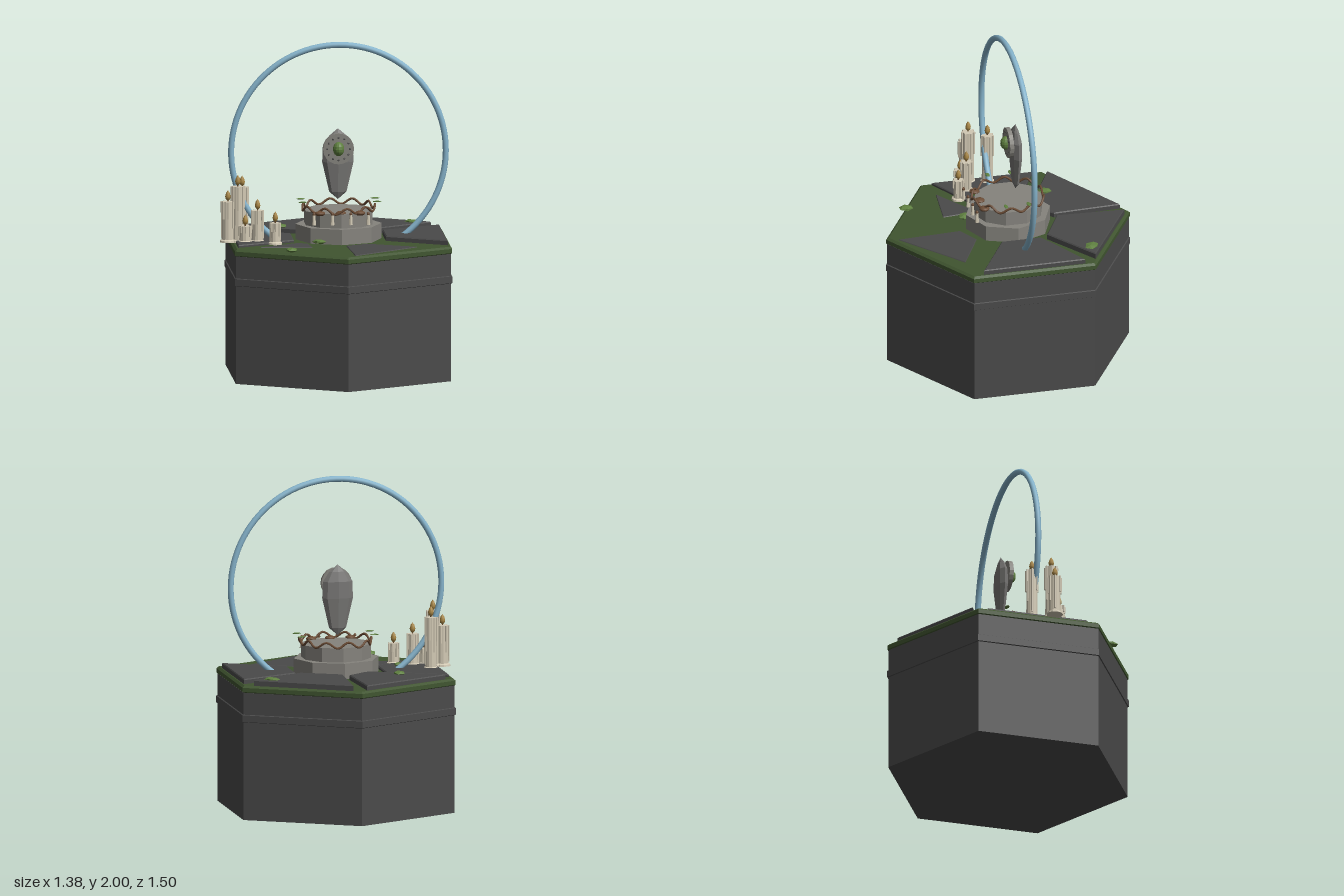
import * as THREE from 'three';

const mat = (name, color, flat = true) => {
  const m = new THREE.MeshStandardMaterial({ color, flatShading: flat });
  m.name = name;
  return m;
};

export function createModel() {
  const stone = mat('dark stone', 0x4a4a4a);
  const moss = mat('moss', 0x405530);
  const leaf = mat('leaf green', 0x5f8040);
  const grey = mat('pale stone', 0x85837d);
  const crystalGrey = mat('crystal grey', 0x777674);
  const blue = mat('pale blue', 0x86b4cc, false);
  const wax = mat('wax', 0xd2c9b4);
  const gold = mat('flame gold', 0xa88645, false);
  const brown = mat('brown wood', 0x6b4c35, false);

  const root = new THREE.Group();
  const cx = 0.025; // axis of the altar
  const add = (name, geo, material, x = 0, y = 0, z = 0, parent = root) => {
    const m = new THREE.Mesh(geo, material);
    m.name = name;
    m.position.set(x, y, z);
    parent.add(m);
    return m;
  };
  const lathe = (pts, n) => new THREE.LatheGeometry(pts.map(p => new THREE.Vector2(...p)), n);
  const prism = (r, h, n, start = 0) => new THREE.CylinderGeometry(r, r, h, n, 1, false, start);
  const blob = (rx, ry, rz, n = 12) => new THREE.SphereGeometry(1, n, 8).scale(rx, ry, rz);

  // Hexagonal base, band and mossy cap
  add('base', prism(0.745, 0.77, 6), stone, cx, 0.385, 0);
  add('band', lathe([[0.74, 0.588], [0.752, 0.594], [0.752, 0.634], [0.74, 0.64]], 6), stone, cx);
  add('mossCap', lathe([[0, 0.765], [0.735, 0.765], [0.751, 0.775], [0.751, 0.8], [0.735, 0.812], [0, 0.812]], 6), moss, cx);

  // Paving slabs, corners given as x, z
  const slabs = [
    [0.842, [[-0.56, -0.39], [-0.015, -0.7], [0.005, -0.29], [-0.13, -0.175]]],
    [0.848, [[0.07, -0.705], [0.61, -0.39], [0.28, -0.175], [0.045, -0.295]]],
    [0.828, [[-0.6, -0.31], [-0.25, -0.14], [-0.25, 0.125], [-0.6, 0.31]]],
    [0.842, [[0.3, -0.135], [0.655, -0.315], [0.655, 0.31], [0.3, 0.11]]],
    [0.816, [[-0.23, 0.165], [-0.17, 0.2], [-0.155, 0.355], [-0.47, 0.32]]],
    [0.816, [[0.045, 0.3], [0.18, 0.23], [0.47, 0.375], [0.07, 0.69]]],
  ];
  for (const [top, pts] of slabs) {
    const b = 0.006;
    const geo = new THREE.ExtrudeGeometry(new THREE.Shape(pts.map(p => new THREE.Vector2(...p))), {
      depth: top - 0.8, bevelEnabled: true, bevelSize: b, bevelOffset: -b, bevelThickness: b, bevelSegments: 1,
    });
    add('slab', geo.rotateX(Math.PI / 2), stone, 0, top - b, 0);
  }

  // Two-step pedestal
  add('pedestalLower', prism(0.258, 0.1, 8), grey, cx, 0.855, 0);
  add('pedestalUpper', prism(0.21, 0.09, 10), grey, cx, 0.945, 0);

  // Wavy vine around the pedestal top
  const vine = [];
  for (let i = 0; i < 80; i++) {
    const a = (i / 80) * Math.PI * 2;
    const r = 0.215 + 0.006 * Math.cos(a * 5);
    vine.push(new THREE.Vector3(Math.sin(a) * r, 1.007 + 0.017 * Math.sin(a * 10), Math.cos(a) * r));
  }
  add('vine', new THREE.TubeGeometry(new THREE.CatmullRomCurve3(vine, true), 120, 0.007, 6, true), brown, cx);

  // Offerings and hanging drops at the front
  for (const x of [-0.1, 0.025, 0.14]) add('offering', blob(0.031, 0.015, 0.031), brown, x, 0.992, 0.175);
  for (const x of [-0.14, -0.03, 0.08, 0.185]) {
    add('drop', new THREE.CylinderGeometry(0.008, 0.012, 0.06, 8), wax, x, 0.96, 0.232);
    add('dropBead', blob(0.009, 0.012, 0.009, 8), brown, x, 0.995, 0.232);
  }
  for (const x of [-0.195, 0.25]) for (const z of [-0.07, 0.07]) {
    add('floatingLeaf', blob(0.027, 0.004, 0.013, 8), leaf, x, 1.045, z);
  }

  // Standing crystal with round medallion and gem
  const crystal = lathe([[0, 1.045], [0.052, 1.09], [0.094, 1.27], [0.09, 1.37], [0.05, 1.43], [0, 1.472]], 8);
  add('crystal', crystal.scale(1, 1, 0.38), crystalGrey, cx, 0, -0.045);
  add('medallion', prism(0.093, 0.025, 20).rotateX(Math.PI / 2), grey, cx, 1.355, -0.003);
  for (let i = 0; i < 12; i++) {
    const a = (i / 12) * Math.PI * 2;
    add('stud', blob(0.006, 0.006, 0.005, 6), stone, cx + Math.cos(a) * 0.068, 1.355 + Math.sin(a) * 0.068, 0.01);
  }
  add('gem', blob(0.034, 0.043, 0.038), leaf, cx, 1.355, 0.01);

  // Large hoop rising from the slabs
  const start = -0.95;
  const hoop = new THREE.TorusGeometry(0.643, 0.018, 10, 80, Math.PI - 2 * start).rotateZ(start);
  add('hoop', hoop, blue, cx, 1.34, 0);

  // Candles: x, z, top height, radius
  const candles = [
    [-0.645, 0.095, 1.06, 0.037], [-0.585, 0.09, 1.15, 0.037], [-0.545, 0.15, 0.92, 0.034],
    [-0.47, 0.13, 1.01, 0.033], [-0.37, 0.205, 0.945, 0.03], [-0.55, -0.02, 1.13, 0.035],
  ];
  for (const [x, z, top, r] of candles) {
    const candle = new THREE.Group();
    candle.name = 'candle';
    candle.position.set(x, 0, z);
    root.add(candle);
    add('candleBody', lathe([[0, 0.815], [r + 0.012, 0.815], [r + 0.01, 0.826], [r, 0.832], [r - 0.003, top], [0, top]], 12), wax, 0, 0, 0, candle);
    for (let i = 0; i < 7; i++) {
      const a = (i / 7) * Math.PI * 2;
      const len = (top - 0.83) * (0.45 + 0.25 * (i % 3));
      add('waxDrip', new THREE.CylinderGeometry(0.007, 0.006, len, 6), wax, Math.sin(a) * r, top - len / 2, Math.cos(a) * r, candle);
    }
    add('wick', prism(0.004, 0.02, 6), brown, 0, top + 0.005, 0, candle);
    add('flame', lathe([[0, 0], [0.013, 0.012], [0.017, 0.028], [0.011, 0.05], [0, 0.066]], 10), gold, 0, top + 0.002, 0, candle);
  }

  // Moss tufts: x, z, radius, height
  for (const [x, z, r, y] of [[0.5, -0.395, 0.053, 0.848], [-0.295, -0.305, 0.047, 0.845],
    [-0.375, 0.09, 0.032, 0.832], [-0.11, 0.235, 0.045, 0.832], [-0.3, 0.545, 0.046, 0.832]]) {
    const tuft = new THREE.IcosahedronGeometry(1, 0).scale(r, 0.015, r * 0.8);
    add('mossTuft', tuft, leaf, x, y, z).rotation.y = x * 5;
  }
  return root;
}
